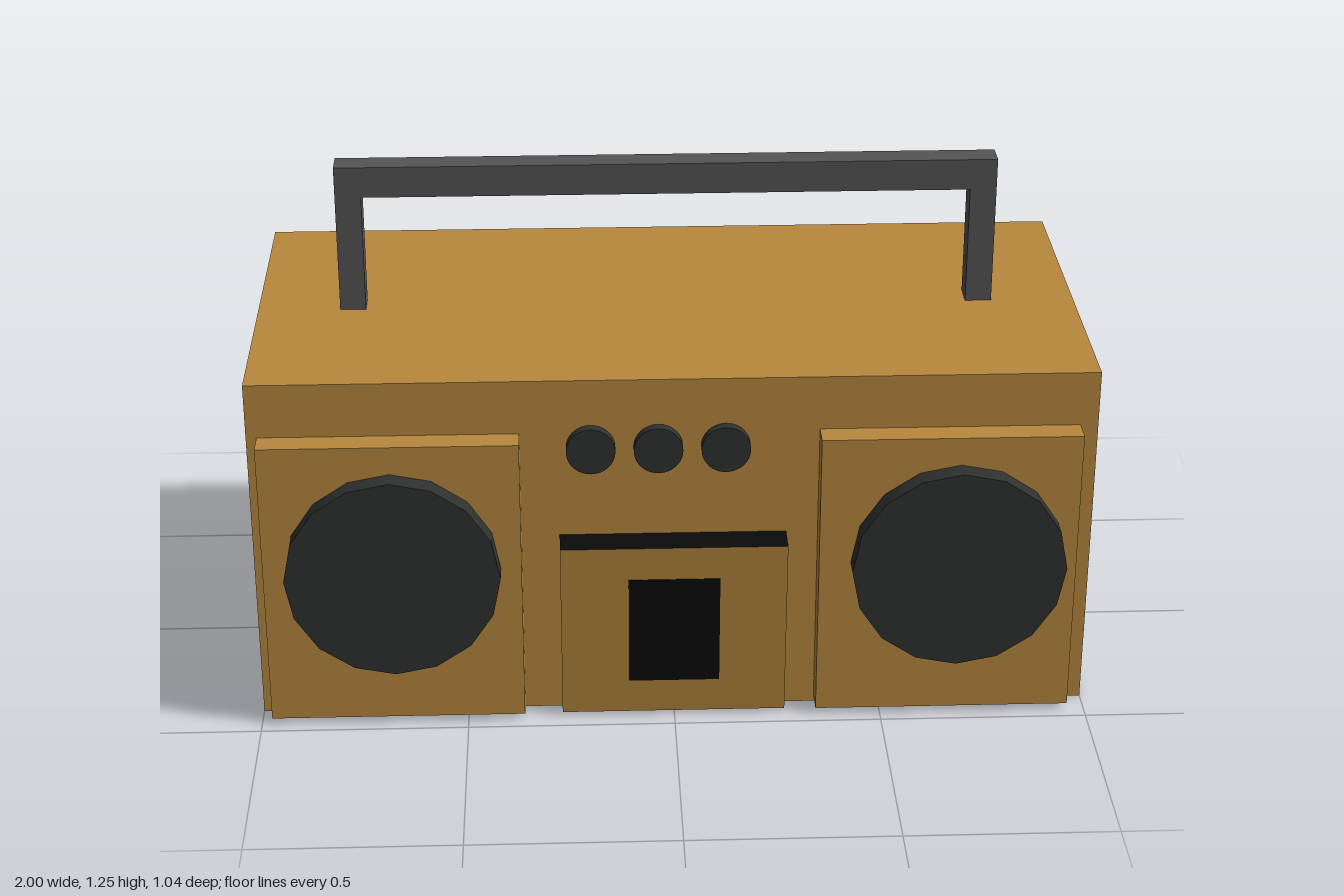
import * as THREE from 'three';

export function createModel() {
  const model = new THREE.Group();
  const paint = (color) => new THREE.MeshStandardMaterial({ color });
  const wood = paint(0xb8893e), dark = paint(0x2f3030), grey = paint(0x555555), black = paint(0x0b0b0b);

  const add = (name, geometry, material) => {
    const mesh = new THREE.Mesh(geometry, material);
    mesh.name = name;
    model.add(mesh);
    return mesh;
  };

  // Box given by its two extreme corners
  const boxGeometry = (x0, x1, y0, y1, z0, z1) =>
    new THREE.BoxGeometry(x1 - x0, y1 - y0, z1 - z0)
      .translate((x0 + x1) / 2, (y0 + y1) / 2, (z0 + z1) / 2);

  // Round disc whose axis points forward
  const disc = (name, x, y, radius, z0, z1, sides) => {
    const geometry = new THREE.CylinderGeometry(radius, radius, z1 - z0, sides);
    add(name, geometry.rotateX(Math.PI / 2), dark).position.set(x, y, (z0 + z1) / 2);
  };

  // Leans the front of a box so that it follows the sloping cassette door
  const doorFront = (y) => 0.455 + (y - 0.01) * 0.0645;
  const leanFront = (geometry, lift = 0) => {
    const p = geometry.attributes.position;
    for (let i = 0; i < p.count; i++) {
      if (p.getZ(i) > 0.43) p.setZ(i, doorFront(p.getY(i)) + lift);
    }
    geometry.computeVertexNormals();
    return geometry;
  };

  const bodyFront = 0.408;
  add('body', boxGeometry(-1, 1, 0, 0.88, -0.52, bodyFront), wood);

  // Speakers: raised panel with a sixteen-sided cone cover
  for (const [side, x0, x1, cx] of [['right', -0.975, -0.363, -0.667], ['left', 0.343, 0.958, 0.673]]) {
    add(side + 'SpeakerPanel', boxGeometry(x0, x1, 0.017, 0.745, bodyFront, 0.47), wood);
    disc(side + 'Speaker', cx, 0.42, 0.255, 0.47, 0.52, 16);
  }

  // Control knobs
  [-0.196, -0.037, 0.122].forEach((x, i) => disc('knob' + (i + 1), x, 0.706, 0.058, bodyFront, 0.433, 32));

  // Cassette door: leans outward, with a dark top opening
  add('cassetteDoor', leanFront(boxGeometry(-0.272, 0.268, 0.01, 0.475, bodyFront, 0.47)),
    [wood, wood, black, wood, wood, wood]);
  add('cassetteWindow', leanFront(boxGeometry(-0.11, 0.108, 0.1, 0.388, 0.42, 0.47), 0.002), black);

  // Carrying handle: one U-shaped bar
  const outline = new THREE.Shape([
    [-0.8, 0.88], [-0.737, 0.88], [-0.737, 1.173], [0.733, 1.173],
    [0.733, 0.88], [0.797, 0.88], [0.797, 1.25], [-0.8, 1.25],
  ].map(([x, y]) => new THREE.Vector2(x, y)));
  add('handle', new THREE.ExtrudeGeometry(outline, { depth: 0.066, bevelEnabled: false }), grey)
    .position.z = -0.084;

  return model;
}
